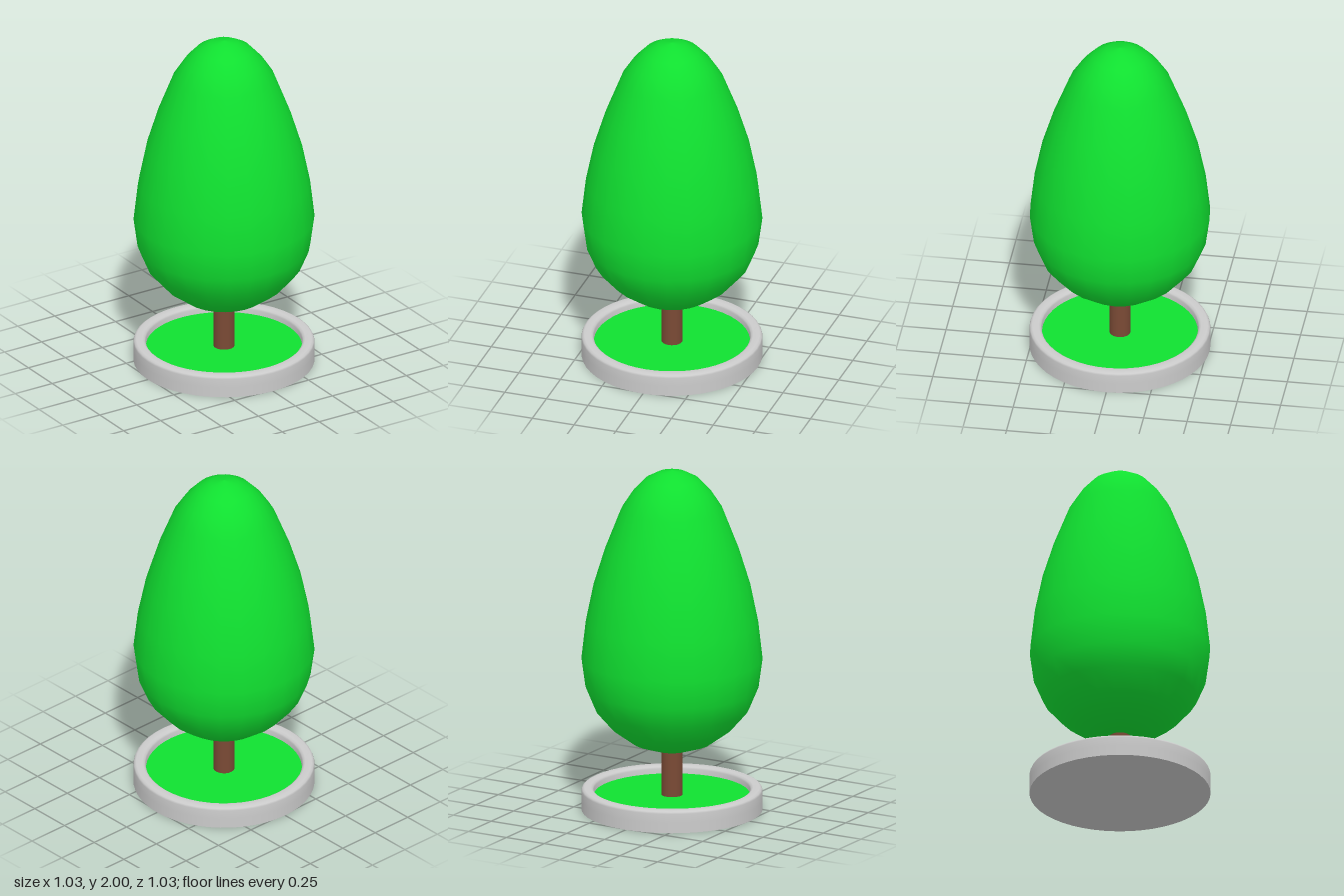
import * as THREE from 'three';

const points = (list) => list.map(([r, y]) => new THREE.Vector2(r, y));

export function createModel() {
  const tree = new THREE.Group();
  tree.name = 'pottedTree';

  const add = (name, geometry, color, y = 0) => {
    const mesh = new THREE.Mesh(geometry, new THREE.MeshStandardMaterial({ color }));
    mesh.name = name;
    mesh.position.y = y;
    tree.add(mesh);
  };

  // Round planter: flat underside, upright wall, rounded rim and inner lip
  const planterWall = new THREE.LatheGeometry(points([
    [0.515, 0], [0.515, 0.06], [0.515, 0.112], [0.51, 0.123], [0.498, 0.13],
    [0.462, 0.13], [0.45, 0.123], [0.445, 0.112], [0.443, 0.08],
  ]), 48);
  add('planterWall', planterWall, 0xcccccc);
  const underside = new THREE.CircleGeometry(0.515, 48).rotateX(Math.PI / 2);
  add('planterBase', underside, 0xcccccc);

  // Grass disc inside the rim
  add('grass', new THREE.CircleGeometry(0.445, 48).rotateX(-Math.PI / 2), 0x10e030, 0.085);

  // Trunk, running up into the crown
  add('trunk', new THREE.CylinderGeometry(0.06, 0.06, 0.42, 24), 0x7a4a35, 0.28);

  // Egg-shaped crown, widest low down
  const crown = new THREE.LatheGeometry(points([
    [0, 0.35], [0.1, 0.355], [0.23, 0.4], [0.34, 0.48], [0.44, 0.595],
    [0.492, 0.72], [0.515, 0.89], [0.49, 1.11], [0.445, 1.33], [0.38, 1.54],
    [0.29, 1.77], [0.225, 1.87], [0.155, 1.945], [0.08, 1.985], [0, 2],
  ]), 24);
  add('crown', crown, 0x10e030);

  return tree;
}
